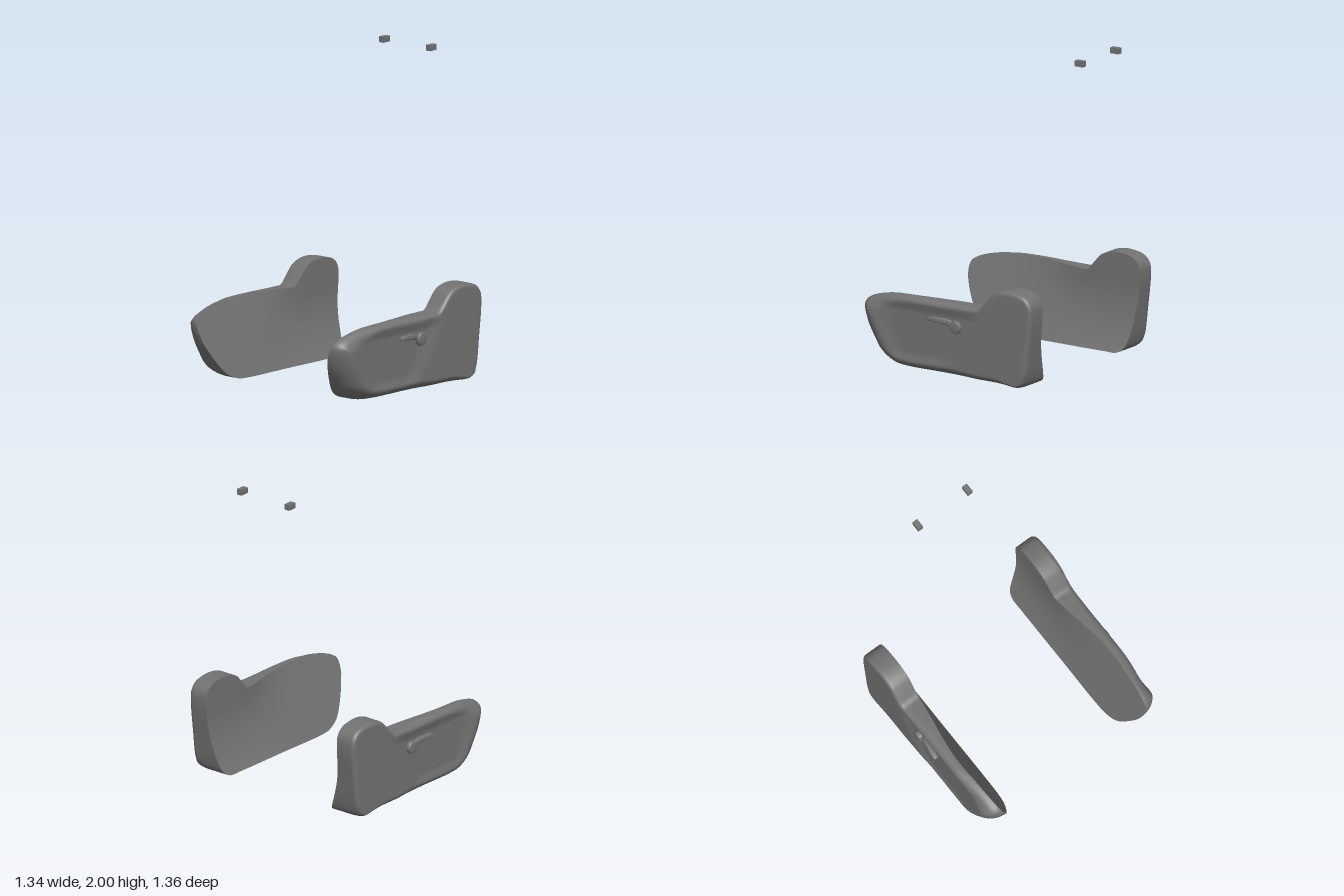
import * as THREE from 'three';
import { toCreasedNormals } from 'three/addons/utils/BufferGeometryUtils.js';

const step = THREE.MathUtils.smoothstep;
const lerp = THREE.MathUtils.lerp;

// Side outline of a cover as [z, y], from the front tip over the top and round the back
const OUTLINE = [
  [0.68, 0.34], [0.672, 0.378], [0.643, 0.404], [0.58, 0.43], [0.455, 0.457], [0.245, 0.468], [0, 0.467],
  [-0.15, 0.462], [-0.205, 0.464], [-0.26, 0.52], [-0.315, 0.575], [-0.38, 0.6], [-0.455, 0.605],
  [-0.55, 0.584], [-0.592, 0.538], [-0.6, 0.465], [-0.579, 0.255], [-0.557, 0.085], [-0.538, 0.028],
  [-0.495, 0.003], [-0.4, 0], [0, 0], [0.35, 0], [0.44, 0.008], [0.53, 0.05], [0.608, 0.15], [0.665, 0.26],
];
const CENTRE = new THREE.Vector2(-0.2, 0.22);

// Inner face: leans outward along the front, flares at the foot of the back
function innerX(z, y) {
  const back = 0.52 - 0.105 * Math.max(0, 1 - y / 0.4) ** 2;
  const front = 0.415 + 0.365 * y;
  return lerp(back, front, step(z, -0.3, 0.3));
}

// Outer face: flat at the back, with a shallow soft-edged recess along the front
function outerX(z, y) {
  const ahead = step(z + (y - 0.1) * 0.625, -0.07, 0.09);
  const recess = ahead * step(y, 0.03, 0.12) * (1 - step(y, 0.37, 0.445))
    * (1 - step(z - (y - 0.36) * 0.4, 0.45, 0.61)) * (1 - step(z - (y - 0.07) * 0.85, 0.32, 0.47));
  return 0.655 - 0.004 * ahead - 0.014 * recess;
}

function coverGeometry() {
  const n = 220;
  const curve = new THREE.CatmullRomCurve3(OUTLINE.map(([z, y]) => new THREE.Vector3(z, y, 0)), true);
  const edge = curve.getSpacedPoints(n).slice(0, n);
  const rings = [];
  // inner face, from its middle out to the rim
  for (let k = 0; k <= 16; k++) {
    const s = Math.max(0.002, k / 16);
    rings.push(edge.map((p) => {
      const z = lerp(CENTRE.x, p.x, s), y = lerp(CENTRE.y, p.y, s);
      return [innerX(z, y), y, z];
    }));
  }
  // rim wall with a rounded outer edge, then the outer face back to its middle
  const roundSteps = 12, faceSteps = 36;
  for (let k = 0; k <= roundSteps + faceSteps; k++) {
    const a = Math.min(1, k / roundSteps) * Math.PI / 2;
    const t = Math.min(0.998, Math.max(0, (k - roundSteps) / faceSteps));
    rings.push(edge.map((p, i) => {
      const q = edge[(i + 1) % n], o = edge[(i + n - 1) % n];
      const inward = new THREE.Vector2(-(q.y - o.y), q.x - o.x).normalize();
      const low = 1 - step(p.y, 0.02, 0.1);
      const r = 0.022 + 0.07 * step(p.x, 0.3, 0.62) + 0.015 * step(p.x, -0.2, 0)
        + 0.03 * low * step(p.x, -0.5, -0.3) * (1 - step(p.x, 0.3, 0.55));
      const xi = innerX(p.x, p.y);
      const rx = Math.min(0.655 - xi, 1.3 * r + 0.06 * low);
      const d = r * (1 - Math.cos(a));
      const z = lerp(p.x + inward.x * d, CENTRE.x, t), y = lerp(p.y + inward.y * d, CENTRE.y, t);
      return [outerX(z, y) - rx * (1 - Math.sin(a)), y, z];
    }));
  }
  const index = [];
  for (let k = 0; k < rings.length - 1; k++) {
    for (let i = 0; i < n; i++) {
      const j = (i + 1) % n;
      const a = k * n + i, b = k * n + j, c = (k + 1) * n + j, d = (k + 1) * n + i;
      index.push(a, d, b, b, d, c);
    }
  }
  const geo = new THREE.BufferGeometry();
  geo.setAttribute('position', new THREE.Float32BufferAttribute(rings.flat(2), 3));
  geo.setIndex(index);
  return toCreasedNormals(geo, 0.5);
}

// Tapered lever arm, bowed slightly outward towards its tip
function leverGeometry() {
  const s = new THREE.Shape();
  s.moveTo(0.03, 0.33);
  s.quadraticCurveTo(0.02, 0.364, -0.03, 0.369);
  s.lineTo(-0.135, 0.369);
  s.quadraticCurveTo(-0.16, 0.363, -0.152, 0.347);
  s.quadraticCurveTo(-0.08, 0.338, -0.03, 0.332);
  s.lineTo(0.01, 0.318);
  s.closePath();
  const geo = new THREE.ExtrudeGeometry(s, {
    depth: 0.02, bevelEnabled: true, bevelSize: 0.006, bevelOffset: -0.006, bevelThickness: 0.006, bevelSegments: 4,
  });
  geo.rotateY(Math.PI / 2);
  const p = geo.attributes.position;
  for (let i = 0; i < p.count; i++) p.setX(i, p.getX(i) + 0.628 + 0.016 * step(p.getZ(i), 0, 0.12));
  return toCreasedNormals(geo, 0.6);
}

// Round pivot with a softened outer edge
function pivotGeometry() {
  const profile = [[0, 0.033], [0.03, 0.033], [0.037, 0.031], [0.041, 0.025], [0.041, 0]];
  const geo = new THREE.LatheGeometry(profile.map(([r, h]) => new THREE.Vector2(r, h)).reverse(), 32);
  geo.rotateZ(-Math.PI / 2).translate(0.63, 0.325, -0.04);
  return toCreasedNormals(geo, 0.6);
}

// Mirror a non-indexed geometry across x = 0, keeping faces outward
function mirrored(source) {
  const geo = source.clone().scale(-1, 1, 1);
  for (const attr of Object.values(geo.attributes)) {
    const { array, itemSize: m } = attr;
    for (let i = 0; i < array.length; i += 3 * m) {
      for (let c = 0; c < m; c++) {
        [array[i + m + c], array[i + 2 * m + c]] = [array[i + 2 * m + c], array[i + m + c]];
      }
    }
  }
  return geo;
}

export function createModel() {
  const model = new THREE.Group();
  model.name = 'seatSideTrim';
  const material = new THREE.MeshStandardMaterial({ color: 0x727272 });
  const parts = {
    SideCover: coverGeometry(),
    ReclineLever: leverGeometry(),
    LeverPivot: pivotGeometry(),
    HeadrestGuide: new THREE.BoxGeometry(0.036, 0.036, 0.06).toNonIndexed().translate(0.19, 1.982, -0.65),
  };
  for (const side of ['left', 'right']) {
    const group = new THREE.Group();
    group.name = side + 'Side';
    for (const [name, geo] of Object.entries(parts)) {
      const mesh = new THREE.Mesh(side === 'left' ? geo : mirrored(geo), material);
      mesh.name = side + name;
      group.add(mesh);
    }
    model.add(group);
  }
  return model;
}
